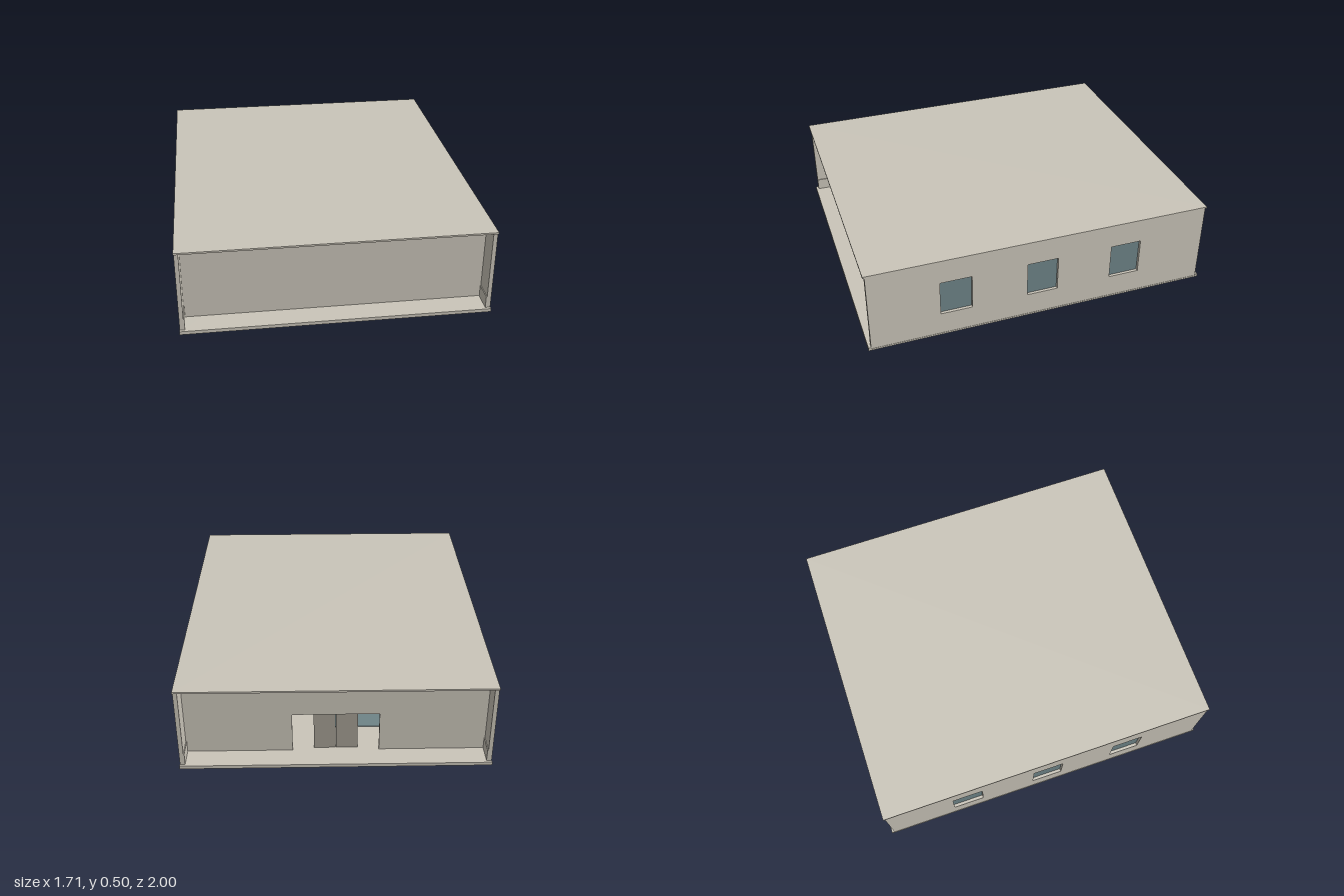
import * as THREE from 'three';

const mat = (name, color) => {
  const m = new THREE.MeshStandardMaterial({ color });
  m.name = name;
  return m;
};

export function createModel() {
  const concrete = mat('warm concrete', 0xcac5b9);
  const glass = mat('blue grey glass', 0x6f8488);
  const doorPaint = mat('door grey', 0xa39e93);
  const building = new THREE.Group();
  building.name = 'building';

  // box given by its minimum and maximum corners
  const box = (name, material, [x0, y0, z0], [x1, y1, z1], parent = building) => {
    const mesh = new THREE.Mesh(new THREE.BoxGeometry(x1 - x0, y1 - y0, z1 - z0), material);
    mesh.position.set((x0 + x1) / 2, (y0 + y1) / 2, (z0 + z1) / 2);
    mesh.name = name;
    parent.add(mesh);
    return mesh;
  };

  // floor slab, inner floor and roof
  box('baseSlab', concrete, [-0.855, 0, -1], [0.855, 0.01, 1]);
  box('floor', concrete, [-0.83, 0.01, -0.985], [0.83, 0.02, 0.985]);
  for (const s of [-1, 1]) {
    const ends = [s * 0.985, s].sort((a, b) => a - b);
    box('floorLip', concrete, [-0.855, 0.01, ends[0]], [0.855, 0.02, ends[1]]);
  }
  box('roof', concrete, [-0.855, 0.49, -0.995], [0.855, 0.5, 0.995]);

  // side wall with three window openings, drawn in z and y
  const windows = [-0.5, 0, 0.5];
  const rect = (Kind, u0, v0, u1, v1) => {
    const p = new Kind();
    p.moveTo(u0, v0).lineTo(u1, v0).lineTo(u1, v1).lineTo(u0, v1).closePath();
    return p;
  };
  const wallShape = rect(THREE.Shape, -0.985, 0.01, 0.985, 0.49);
  for (const z of windows) {
    wallShape.holes.push(rect(THREE.Path, z - 0.09, 0.145, z + 0.09, 0.355));
  }
  const wallGeometry = new THREE.ExtrudeGeometry(wallShape, { depth: 0.023, bevelEnabled: false });
  wallGeometry.rotateY(-Math.PI / 2);

  for (const s of [-1, 1]) {
    const side = new THREE.Group();
    side.name = s > 0 ? 'leftSide' : 'rightSide';
    const wall = new THREE.Mesh(wallGeometry, concrete);
    wall.name = 'sideWall';
    wall.position.x = s > 0 ? 0.853 : -0.83;
    side.add(wall);
    // panes sit deep in the openings
    for (const z of windows) {
      const pane = box('windowPane', glass, [-0.003, 0.145, z - 0.09], [0.003, 0.355, z + 0.09], side);
      pane.position.x = s * 0.833;
    }
    // low skirting in the porches
    for (const e of [-1, 1]) {
      const skirting = box('skirting', concrete, [-0.0025, 0.02, -0.0575], [0.0025, 0.09, 0.0575], side);
      skirting.position.x = s * 0.8275;
      skirting.position.z = e * 0.9275;
    }
    building.add(side);
  }

  // closed wall behind the front porch
  box('frontWall', concrete, [-0.83, 0.02, 0.845], [0.83, 0.49, 0.865]);

  // back wall panels around the entrance
  box('backWallPanel', concrete, [-0.83, 0.02, -0.87], [-0.24, 0.49, -0.85]);
  box('backWallPanel', concrete, [0.24, 0.02, -0.87], [0.83, 0.49, -0.85]);
  box('entranceLintel', concrete, [-0.24, 0.26, -0.87], [0.24, 0.49, -0.85]);

  // pair of door leaves in the entrance
  for (const s of [-1, 1]) {
    const leaf = box('doorLeaf', doorPaint, [-0.06, 0.02, -0.85], [0.06, 0.25, -0.835]);
    leaf.position.x = s * 0.0615;
  }

  // glazed panel in the hall floor
  box('floorPanel', glass, [-0.45, 0.02, -0.66], [0.06, 0.024, -0.2]);

  return building;
}
